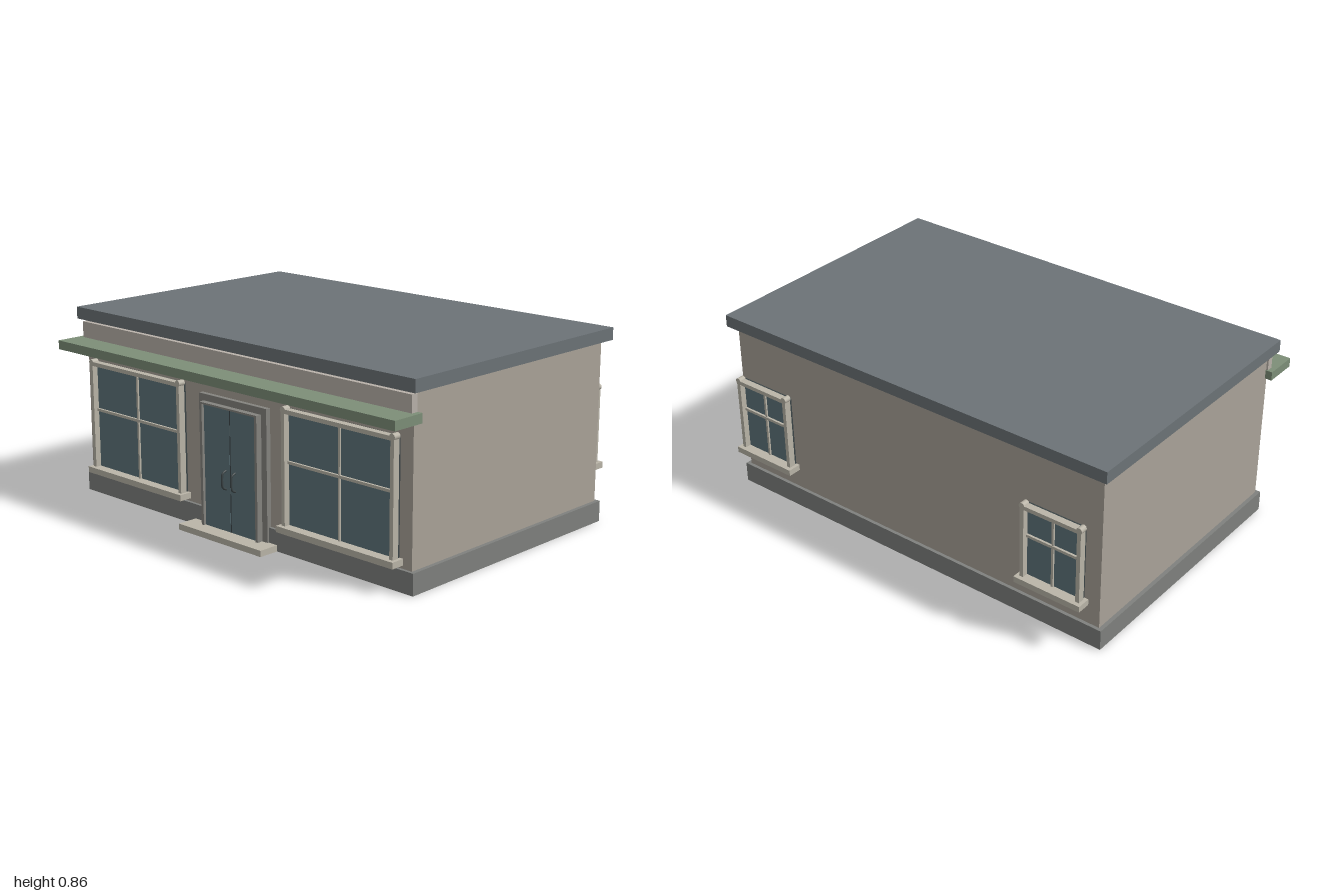
import * as THREE from 'three';

const mat = (color) => new THREE.MeshStandardMaterial({ color });
const wallMat = mat(0xaaa399), roofMat = mat(0x6c7377), plinthMat = mat(0x7f817e);
const trimMat = mat(0xbab5a8), fasciaMat = mat(0xb9b2aa), awningMat = mat(0x7d8f78);
const glassMat = mat(0x5e757c), darkMat = mat(0x3c4547), surroundMat = mat(0x85847f);

// Box given by its low and high limits on each axis
function box(parent, name, material, [x0, x1], [y0, y1], [z0, z1]) {
  const mesh = new THREE.Mesh(new THREE.BoxGeometry(x1 - x0, y1 - y0, z1 - z0), material);
  mesh.position.set((x0 + x1) / 2, (y0 + y1) / 2, (z0 + z1) / 2);
  mesh.name = name;
  parent.add(mesh);
  return mesh;
}

// Window standing on y = 0, facing +z, its back at z = 0
function createWindow(name, w, h) {
  const g = new THREE.Group();
  g.name = name;
  const hw = w / 2, bar = 0.018, back = 0.012, front = 0.043;
  box(g, 'windowCasing', darkMat, [-hw + 0.004, hw - 0.004], [0.02, h - 0.004], [0, back]);
  box(g, 'windowGlass', glassMat, [-hw + bar, hw - bar], [0.025, h - bar], [back - 0.002, back + 0.004]);
  for (const s of [-1, 1]) {
    const x = s * (hw - bar / 2);
    box(g, 'windowPost', trimMat, [x - bar / 2, x + bar / 2], [0, h], [back, front]);
    // Rounded block at the top corner
    const knob = new THREE.Mesh(new THREE.CylinderGeometry(0.014, 0.014, front - back + 0.001, 12), trimMat);
    knob.rotation.x = Math.PI / 2;
    knob.position.set(x, h - 0.003, (front + back) / 2);
    knob.name = 'cornerBlock';
    g.add(knob);
  }
  box(g, 'windowHead', trimMat, [-hw + bar, hw - bar], [h - bar, h], [back, front]);
  box(g, 'verticalMullion', trimMat, [-0.005, 0.005], [0.02, h - bar], [back, back + 0.012]);
  const mid = (h + 0.01) / 2 + 0.03;
  box(g, 'horizontalMullion', trimMat, [-hw + bar, hw - bar], [mid - 0.006, mid + 0.006], [back, back + 0.014]);
  box(g, 'windowSill', trimMat, [-hw - 0.015, hw + 0.015], [0, 0.027], [0, 0.062]);
  return g;
}

function createDoor() {
  const g = new THREE.Group();
  g.name = 'entrance';
  // Wide flat surround
  for (const s of [-1, 1]) {
    const x = s * 0.186;
    box(g, 'surroundSide', surroundMat, [x - 0.016, x + 0.016], [0, 0.597], [0.575, 0.603]);
  }
  box(g, 'surroundTop', surroundMat, [-0.17, 0.17], [0.568, 0.597], [0.575, 0.603]);
  // Door frame
  for (const s of [-1, 1]) {
    const x = s * 0.165;
    box(g, 'doorJamb', surroundMat, [x - 0.007, x + 0.007], [0, 0.568], [0.58, 0.63]);
  }
  box(g, 'doorHead', surroundMat, [-0.158, 0.158], [0.56, 0.568], [0.58, 0.63]);
  // Two glazed leaves with bowed handles
  for (const s of [-1, 1]) {
    const x = s * 0.08;
    box(g, 'doorLeaf', glassMat, [x - 0.077, x + 0.077], [0.022, 0.56], [0.58, 0.618]);
    const path = new THREE.CatmullRomCurve3([
      [0.616, 0.212], [0.635, 0.222], [0.64, 0.252], [0.635, 0.284], [0.616, 0.294],
    ].map(([z, y]) => new THREE.Vector3(s * 0.028, y, z)));
    const handle = new THREE.Mesh(new THREE.TubeGeometry(path, 16, 0.005, 8), darkMat);
    handle.name = 'doorHandle';
    g.add(handle);
  }
  box(g, 'meetingStile', darkMat, [-0.003, 0.003], [0.022, 0.56], [0.58, 0.617]);
  box(g, 'doorStep', trimMat, [-0.25, 0.25], [0, 0.027], [0.57, 0.69]);
  return g;
}

export function createModel() {
  const model = new THREE.Group();
  model.name = 'shopBuilding';

  // Main shell
  box(model, 'walls', wallMat, [-0.967, 0.967], [0.002, 0.806], [-0.626, 0.581]);
  box(model, 'plinth', plinthMat, [-0.985, 0.985], [0, 0.092], [-0.641, 0.595]);
  box(model, 'roof', roofMat, [-1, 1], [0.803, 0.857], [-0.662, 0.613]);

  // Shopfront band and awning
  box(model, 'fascia', fasciaMat, [-0.975, 0.975], [0.69, 0.792], [0.572, 0.602]);
  box(model, 'awning', awningMat, [-0.998, 0.998], [0.68, 0.72], [0.568, 0.723]);

  model.add(createDoor());

  // Display windows in front, small windows at the back
  for (const s of [-1, 1]) {
    const display = createWindow('frontWindow', 0.6, 0.516);
    display.position.set(s * 0.607, 0.106, 0.581);
    model.add(display);
    const small = createWindow('backWindow', 0.29, 0.367);
    small.position.set(s * 0.776, 0.214, -0.662);
    small.rotation.y = Math.PI;
    model.add(small);
  }
  return model;
}
